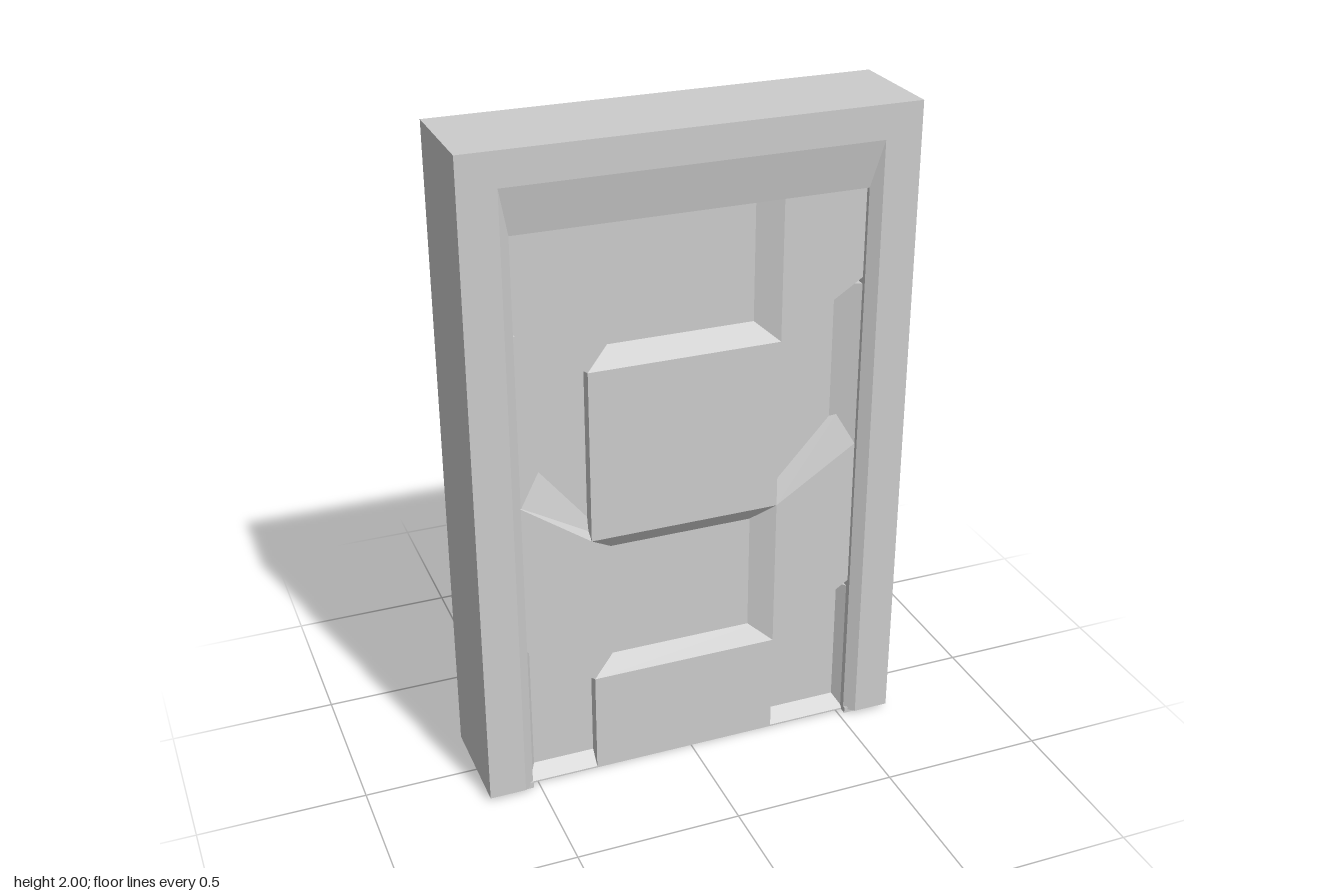
import * as THREE from 'three';

const FLOOR = 0.09, RAISED = 0.127;

function makeMesh(name, positions) {
  const geometry = new THREE.BufferGeometry();
  geometry.setAttribute('position', new THREE.Float32BufferAttribute(positions, 3));
  geometry.computeVertexNormals();
  const mesh = new THREE.Mesh(geometry, new THREE.MeshStandardMaterial({ color: 0xcccccc, flatShading: true }));
  mesh.name = name;
  return mesh;
}

function box(name, w, h, d, x, y) {
  const mesh = new THREE.Mesh(new THREE.BoxGeometry(w, h, d),
    new THREE.MeshStandardMaterial({ color: 0xcccccc, flatShading: true }));
  mesh.name = name;
  mesh.position.set(x, y, 0);
  return mesh;
}

// Raised block with sloping sides, made on both faces of the door
function block(name, top, base) {
  if (THREE.ShapeUtils.isClockWise(top.map(p => new THREE.Vector2(...p)))) {
    top = [...top].reverse();
    base = [...base].reverse();
  }
  const out = [];
  for (const side of [1, -1]) {
    const tri = (a, b, c) => out.push(...(side > 0 ? [a, b, c] : [a, c, b]).flat());
    const t = top.map(([x, y]) => [x, y, RAISED * side]);
    const b = base.map(([x, y]) => [x, y, FLOOR * side]);
    const n = t.length;
    for (let i = 0; i < n; i++) {
      const j = (i + 1) % n;
      tri(b[i], b[j], t[j]);
      tri(b[i], t[j], t[i]);
      if (i > 0 && i < n - 1) tri(t[0], t[i], t[i + 1]);
    }
  }
  return makeMesh(name, out);
}

// Upside-down U frame: one cross-section carried round four stations
function frame() {
  const section = [ // half width, top height, z
    [0.66, 2, 0.165], [0.55, 1.9, 0.165], [0.52, 1.76, 0.14],
    [0.52, 1.76, -0.14], [0.55, 1.9, -0.165], [0.66, 2, -0.165],
  ];
  const stations = [[-1, 0], [-1, 1], [1, 1], [1, 0]].map(([s, up]) =>
    section.map(([x, y, z]) => [s * x, up ? y : 0.01, z]));
  const out = [];
  const tri = (a, b, c) => out.push(...a, ...b, ...c);
  const n = section.length;
  for (let k = 0; k < 3; k++) {
    const a = stations[k], b = stations[k + 1];
    for (let i = 0; i < n; i++) {
      const j = (i + 1) % n;
      tri(a[i], a[j], b[j]);
      tri(a[i], b[j], b[i]);
    }
  }
  for (let i = 1; i < n - 1; i++) {
    tri(stations[0][0], stations[0][i + 1], stations[0][i]);
    tri(stations[3][0], stations[3][i], stations[3][i + 1]);
  }
  return makeMesh('frame', out);
}

export function createModel() {
  const door = new THREE.Group();
  door.name = 'door';
  door.add(frame(), box('doorSlab', 1.08, 1.8, FLOOR * 2, 0, 0.9));

  // Central blocks, sloping above and below
  const L = -0.31, R = 0.27;
  door.add(block('centreBlock',
    [[L, 0.8], [R, 0.8], [R, 1.33], [L, 1.33]],
    [[L, 0.75], [R, 0.75], [R, 1.39], [L, 1.39]]));
  door.add(block('lowerCentreBlock',
    [[L, 0], [R, 0], [R, 0.325], [L, 0.325]],
    [[L, 0], [R, 0], [R, 0.38], [L, 0.38]]));

  for (const s of [-1, 1]) {
    const side = s > 0 ? 'left' : 'right';
    const inner = s > 0 ? R : L;
    const toe = inner - s * 0.07; // foot of the slope toward the centre
    const outer = s * 0.54;
    const slope = s > 0 ? 0.64 : 0.71;
    const rise = (x, y) => y + slope * (x - inner) * s; // slanted edge

    // Upper side panel
    door.add(block(side + 'UpperPanel',
      [[outer, 1.8], [outer, rise(outer, 1.33)], [inner, 1.33], [inner, 1.8]],
      [[outer, 1.8], [outer, rise(outer, 1.33)], [toe, rise(toe, 1.33)], [toe, 1.8]]));

    // Middle side panel with a wide slope on its upper edge
    door.add(block(side + 'MiddlePanel',
      [[outer, rise(outer, 0.8)], [outer, rise(outer, 0.325)], [inner, 0.325], [inner, 0.8]],
      [[outer, 1.145], [outer, rise(outer, 0.325)], [toe, rise(toe, 0.325)], [toe, 0.775]]));

    // Sloping outer edges and sill of the side recesses
    const strip = (name, topX, baseX, y0, y1) => door.add(block(name,
      [[outer, y0], [topX, y0], [topX, y1], [outer, y1]],
      [[outer, y0], [baseX, y0], [baseX, y1], [outer, y1]]));
    strip(side + 'UpperRecessEdge', s * 0.52, s * 0.45, 0.9, 1.47);
    strip(side + 'LowerRecessEdge', s * 0.525, s * 0.5, 0, 0.46);
    door.add(block(side + 'Sill',
      [[outer, 0], [inner, 0], [inner, 0.005], [outer, 0.005]],
      [[outer, 0], [inner, 0], [inner, 0.045], [outer, 0.045]]));

    // Runner under the frame post
    door.add(box(side + 'Runner', 0.06, 0.02, 0.3, s * 0.55, 0.01));
  }
  return door;
}
